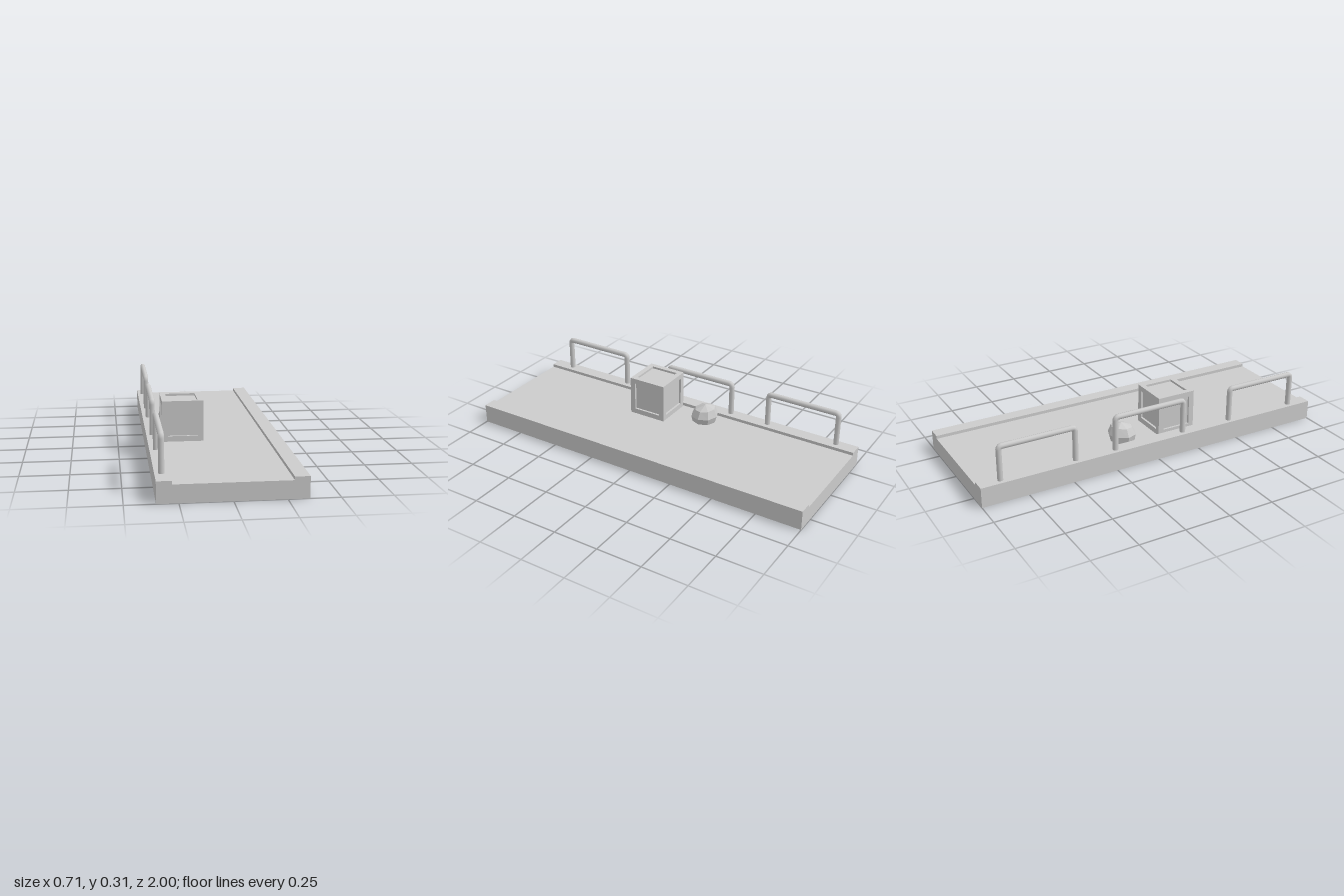
import * as THREE from 'three';

const DECK = 0.09;   // height of the walking surface
const CURB = 0.107;  // height of the raised edges

const material = new THREE.MeshStandardMaterial({ color: 0xcccccc });
const flatMaterial = new THREE.MeshStandardMaterial({ color: 0xcccccc, flatShading: true });

function addMesh(parent, name, geometry, mat = material) {
  const mesh = new THREE.Mesh(geometry, mat);
  mesh.name = name;
  parent.add(mesh);
  return mesh;
}

// Slab with a raised curb on both long sides
function slabGeometry() {
  const w = 0.353, inner = 0.28;
  const profile = new THREE.Shape([
    [-w, 0], [w, 0], [w, CURB], [inner, CURB], [inner, DECK],
    [-inner, DECK], [-inner, CURB], [-w, CURB],
  ].map(([x, y]) => new THREE.Vector2(x, y)));
  return new THREE.ExtrudeGeometry(profile, { depth: 2, bevelEnabled: false }).translate(0, 0, -1);
}

// Hoop-shaped rail: two posts joined by a bar with tight bends
function railGeometry() {
  const half = 0.205, top = 0.29, bend = 0.018, foot = 0.1;
  const p = (y, z) => new THREE.Vector3(0, y, z);
  const path = new THREE.CurvePath();
  path.add(new THREE.LineCurve3(p(foot, -half), p(top - bend, -half)));
  path.add(new THREE.QuadraticBezierCurve3(p(top - bend, -half), p(top, -half), p(top, -half + bend)));
  path.add(new THREE.LineCurve3(p(top, -half + bend), p(top, half - bend)));
  path.add(new THREE.QuadraticBezierCurve3(p(top, half - bend), p(top, half), p(top - bend, half)));
  path.add(new THREE.LineCurve3(p(top - bend, half), p(foot, half)));
  return new THREE.TubeGeometry(path, 90, 0.015, 10, false);
}

// Crate: recessed core inside a frame of beams along all twelve edges
function createCrate() {
  const size = 0.217, beam = 0.029, recess = 0.012;
  const off = (size - beam) / 2, span = size - 2 * beam;
  const crate = new THREE.Group();
  crate.name = 'crate';
  const core = size - 2 * recess;
  addMesh(crate, 'cratePanels', new THREE.BoxGeometry(core, core, core));
  for (const a of [-off, off]) {
    for (const b of [-off, off]) {
      addMesh(crate, 'cratePost', new THREE.BoxGeometry(beam, size, beam)).position.set(a, 0, b);
      addMesh(crate, 'crateCrossBeam', new THREE.BoxGeometry(span, beam, beam)).position.set(0, a, b);
      addMesh(crate, 'crateSideBeam', new THREE.BoxGeometry(beam, beam, span)).position.set(a, b, 0);
    }
  }
  return crate;
}

// Boulder: eight-sided dome, unevenly skewed
function boulderGeometry() {
  const profile = [[0, 0], [0.068, 0], [0.077, 0.035], [0.058, 0.077], [0, 0.098]]
    .map(([r, y]) => new THREE.Vector2(r, y));
  const geometry = new THREE.LatheGeometry(profile, 8);
  const pos = geometry.attributes.position;
  for (let i = 0; i < pos.count; i++) {
    const x = pos.getX(i), y = pos.getY(i), z = pos.getZ(i);
    const lean = y / 0.098;
    pos.setXYZ(i, x, y - lean * (0.12 * z + 0.06 * x), z - 0.006 * lean);
  }
  geometry.computeVertexNormals();
  return geometry;
}

export function createModel() {
  const model = new THREE.Group();
  model.name = 'walkway';

  addMesh(model, 'slab', slabGeometry());

  // Rails along the right curb only
  for (const z of [-0.68, -0.04, 0.67]) {
    addMesh(model, 'handrail', railGeometry()).position.set(-0.32, 0, z);
  }

  const crate = createCrate();
  crate.position.set(-0.1645, DECK + 0.109, 0.153);
  model.add(crate);

  addMesh(model, 'boulder', boulderGeometry(), flatMaterial).position.set(-0.2, DECK, -0.138);
  return model;
}
